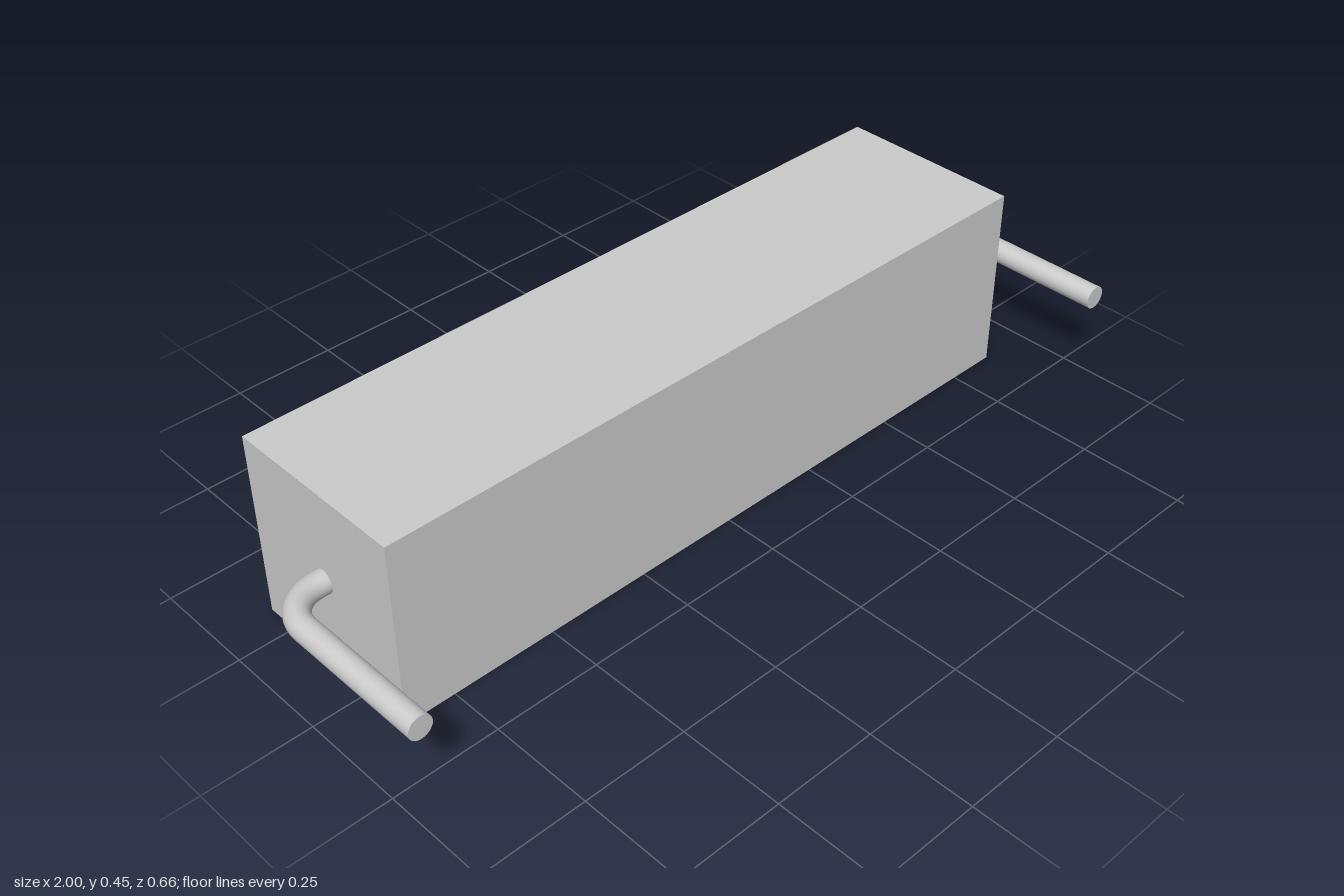
import * as THREE from 'three';

const MID_Y = 0.224;      // height of the lead axis
const WIRE = 0.0275;      // lead radius
const BEND = 0.085;       // bend radius at the wire axis
const AXIS_X = 0.9725;    // x of the forward-running length
const EXIT_Z = -0.104;    // z where the lead leaves the body
const END_Z = 0.328;

const material = new THREE.MeshStandardMaterial({ color: 0xcccccc });

function part(name, geometry, x, y, z) {
  const mesh = new THREE.Mesh(geometry, material);
  mesh.name = name;
  mesh.position.set(x, y, z);
  return mesh;
}

// One bent wire lead on the +x side, with its axis at y = 0
function createLead(name) {
  const lead = new THREE.Group();
  lead.name = name;
  const bendX = AXIS_X - BEND, bendZ = EXIT_Z + BEND;

  // short stub leaving the end face
  const stubStart = 0.86, stubLength = bendX - stubStart;
  const stub = new THREE.CylinderGeometry(WIRE, WIRE, stubLength, 24, 1, true).rotateZ(Math.PI / 2);
  lead.add(part('leadStub', stub, stubStart + stubLength / 2, 0, EXIT_Z));

  // quarter-turn bend towards the front
  const bend = new THREE.TorusGeometry(BEND, WIRE, 24, 12, Math.PI / 2).rotateX(-Math.PI / 2);
  lead.add(part('leadBend', bend, bendX, 0, bendZ));

  // straight length with a flat cut end
  const length = END_Z - bendZ;
  const straight = new THREE.CylinderGeometry(WIRE, WIRE, length, 24).rotateX(Math.PI / 2);
  lead.add(part('leadStraight', straight, AXIS_X, 0, bendZ + length / 2));

  lead.position.y = MID_Y;
  return lead;
}

export function createModel() {
  const model = new THREE.Group();
  model.name = 'wireLeadBlock';

  // square-section body
  model.add(part('body', new THREE.BoxGeometry(1.738, 0.447, 0.447), 0, 0.2235, EXIT_Z));

  // the opposite lead is a half turn about the front axis
  const leftLead = createLead('leftLead');
  const rightLead = createLead('rightLead');
  rightLead.rotation.z = Math.PI;
  model.add(leftLead, rightLead);

  return model;
}
